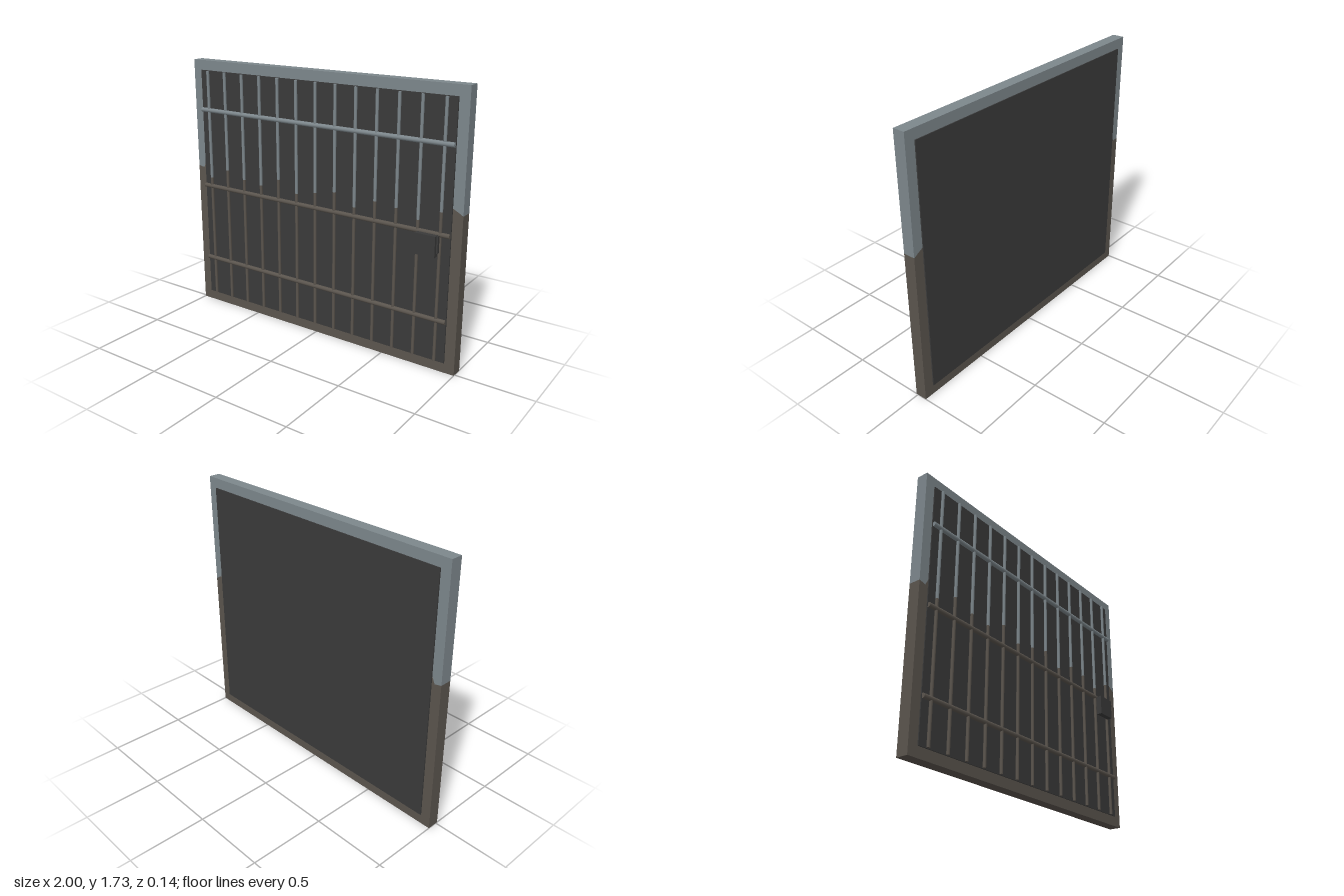
import * as THREE from 'three';

const steel = new THREE.MeshStandardMaterial({ color: 0x7d878c });
steel.name = 'blue grey steel';
const rust = new THREE.MeshStandardMaterial({ color: 0x5b554e });
rust.name = 'muddy brown';
const dark = new THREE.MeshStandardMaterial({ color: 0x3a3a3a });
dark.name = 'dark panel';

const H = 1.73;      // overall height
const W = 0.065;     // frame border width
const IN = 1 - W;    // inner half width

export function createModel() {
  const gate = new THREE.Group();
  gate.name = 'gate';

  const add = (name, geometry, material, x, y, z) => {
    const mesh = new THREE.Mesh(geometry, material);
    mesh.name = name;
    mesh.position.set(x, y, z);
    gate.add(mesh);
    return mesh;
  };
  const box = (name, mat, w, h, d, x, y, z) => add(name, new THREE.BoxGeometry(w, h, d), mat, x, y, z);

  // Frame: two U shapes that meet along a ragged colour line
  const seam = [[1, 1.0], [0.965, 1.02], [IN, 1.035]];
  const seamLeft = [[-IN, 1.03], [-0.955, 0.99], [-1, 1.0]];
  const frameHalf = (name, mat, outerY, innerY) => {
    const pts = [
      [-1, outerY], [1, outerY], ...seam,
      [IN, innerY], [-IN, innerY], ...seamLeft,
    ].map(([x, y]) => new THREE.Vector2(x, y));
    const geo = new THREE.ExtrudeGeometry(new THREE.Shape(pts), { depth: 0.077, bevelEnabled: false });
    add(name, geo, mat, 0, 0, -0.065);
  };
  frameHalf('upperFrame', steel, H, H - W);
  frameHalf('lowerFrame', rust, 0, W);

  // Infill panel, slightly proud of the frame on both sides
  box('panel', dark, 2 * IN - 0.002, H - 2 * W, 0.089, 0, H / 2, -0.0265);

  // Vertical bars, brown below and steel above
  const bar = (name, mat, x, y0, y1) =>
    add(name, new THREE.CylinderGeometry(0.01, 0.01, y1 - y0, 8), mat, x, (y0 + y1) / 2, 0.025);
  for (let i = -6; i <= 6; i++) {
    const x = i * 0.1452;
    const split = 0.97 + 0.04 * Math.sin(i * 2.3);
    bar('lowerBar', rust, x, 0.068, split);
    bar('upperBar', steel, x, split, H - 0.068);
  }

  // Horizontal rails
  for (const [y, mat] of [[0.335, rust], [0.87, rust], [1.4, steel]]) {
    const rail = add('rail', new THREE.CylinderGeometry(0.015, 0.015, 1.864, 8), mat, 0, y, 0.024);
    rail.rotation.z = Math.PI / 2;
  }

  // Lock
  box('lockPlate', dark, 0.115, 0.105, 0.04, 0.815, 0.815, 0.033);
  box('lockCover', dark, 0.132, 0.13, 0.036, 0.797, 0.805, 0.053);

  return gate;
}
